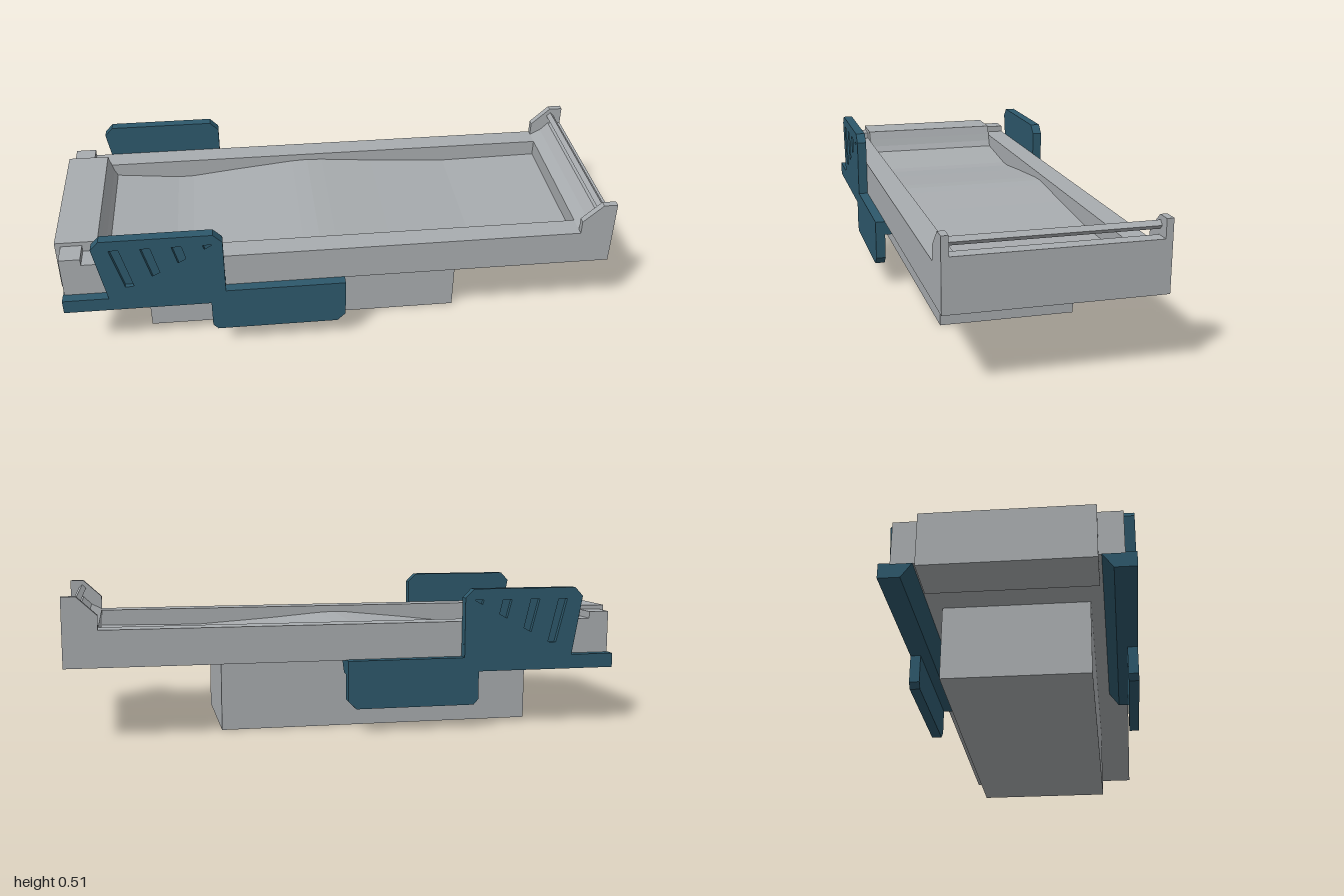
import * as THREE from 'three';

const shell = new THREE.MeshStandardMaterial({ color: 0xa8acaf });
shell.name = 'light grey shell';
const teal = new THREE.MeshStandardMaterial({ color: 0x2d586b });
teal.name = 'dark teal panel';

const toPoints = (pts) => pts.map(([x, y]) => new THREE.Vector2(x, y));

// Extrudes an outline in x and y from z0 to z1
function slab(name, material, pts, z0, z1, holes = []) {
  const shape = new THREE.Shape(toPoints(pts));
  for (const h of holes) shape.holes.push(new THREE.Path(toPoints(h)));
  const geo = new THREE.ExtrudeGeometry(shape, { depth: z1 - z0, bevelEnabled: false });
  geo.translate(0, 0, z0);
  const mesh = new THREE.Mesh(geo, material);
  mesh.name = name;
  return mesh;
}

// Slab on one side: s is +1 or -1, a and b are distances from the middle
const sideSlab = (name, material, pts, s, a, b, holes) =>
  slab(name, material, pts, Math.min(s * a, s * b), Math.max(s * a, s * b), holes);

export function createModel() {
  const group = new THREE.Group();

  // Pedestal under the tray
  const base = new THREE.Mesh(new THREE.BoxGeometry(1.155, 0.262, 0.492), shell);
  base.name = 'base';
  base.position.set(-0.1225, 0.131, 0);
  group.add(base);

  // Contoured lying surface between the rails
  group.add(slab('beddingSurface', shell, [
    [-0.84, 0.26], [0.89, 0.26], [0.89, 0.33], [0.5, 0.325], [0.2, 0.345], [0, 0.362],
    [-0.06, 0.365], [-0.12, 0.362], [-0.35, 0.338], [-0.52, 0.318], [-0.58, 0.317], [-0.84, 0.343],
  ], -0.28, 0.28));

  // Raised head block with a slightly hollow inner face
  group.add(slab('headBlock', shell, [
    [-1, 0.24], [-0.83, 0.24], [-0.82, 0.34], [-0.832, 0.365], [-0.841, 0.395],
    [-0.85, 0.43], [-1, 0.43],
  ], -0.28, 0.28));

  // Foot board with a sloping inner face
  group.add(slab('footBoard', shell, [
    [0.88, 0.26], [1, 0.26], [1, 0.44], [0.95, 0.44], [0.92, 0.41], [0.88, 0.39],
  ], -0.338, 0.338));

  // Grab bar at the foot
  const bar = new THREE.Mesh(
    new THREE.CylinderGeometry(0.0145, 0.0145, 0.68, 4).toNonIndexed(), shell);
  bar.geometry.computeVertexNormals();
  bar.name = 'footBar';
  bar.rotation.x = Math.PI / 2;
  bar.position.set(0.955, 0.474, 0);
  group.add(bar);

  // Slanted vent slots of the side guard
  const slots = [];
  for (let i = 0; i < 4; i++) {
    const x = -0.8 + i * 0.107;
    slots.push([[x, 0.47], [x + 0.034, 0.47], [x + 0.072, 0.31], [x + 0.041, 0.31]]);
  }
  const guard = [
    [-0.985, 0.21], [-0.465, 0.21], [-0.465, 0.108], [-0.447, 0.088], [-0.01, 0.088],
    [0.02, 0.118], [0.02, 0.262], [-0.41, 0.262], [-0.41, 0.478], [-0.442, 0.51],
    [-0.83, 0.51], [-0.86, 0.478], [-0.822, 0.262], [-0.985, 0.262],
  ];

  for (const s of [1, -1]) {
    // Long rail with a raised post at the head
    group.add(sideSlab('sideRail', shell, [
      [-0.98, 0.26], [0.89, 0.26], [0.89, 0.39], [-0.905, 0.39], [-0.905, 0.415], [-0.98, 0.415],
    ], s, 0.28, 0.362));

    // Cheek at the foot
    group.add(sideSlab('footCheek', shell, [
      [0.88, 0.26], [1, 0.26], [1, 0.505], [0.95, 0.505], [0.88, 0.44],
    ], s, 0.338, 0.362));

    // Guard: solid inner layer and slotted outer layer
    group.add(sideSlab('guardInner', teal, guard, s, 0.362, 0.382));
    group.add(sideSlab('guardOuter', teal, guard, s, 0.382, 0.398, slots));

    // Bracket holding the guard under the tray
    const bracket = slab('guardBracket', teal, [
      [s * 0.362, 0.21], [s * 0.362, 0.259], [s * 0.29, 0.259], [s * 0.326, 0.21],
    ], 0, 1.005);
    bracket.rotation.y = -Math.PI / 2;
    bracket.position.x = 0.02;
    group.add(bracket);
  }

  return group;
}
